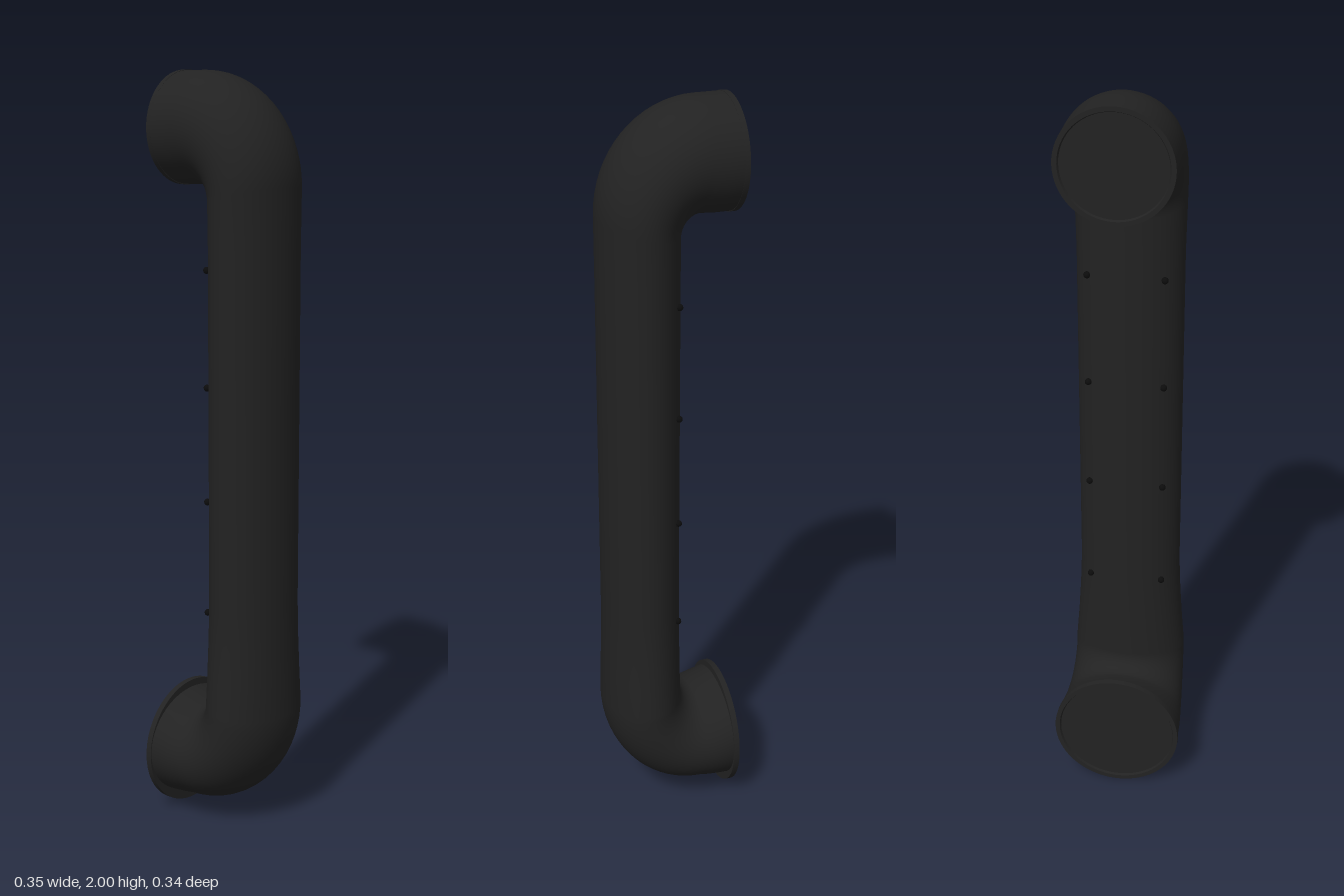
import * as THREE from 'three';
import { toCreasedNormals } from 'three/addons/utils/BufferGeometryUtils.js';

const SIDES = 64;

// Sections [outer z, outer y, inner z, inner y, half width], from the lower mount up to the upper one
function handleSections() {
  const s = [];
  s.push([-0.16, 0.032, -0.16, 0.33, 0.171], [-0.13, 0.036, -0.125, 0.318, 0.171], [-0.1, 0.04, -0.1, 0.31, 0.17]);
  const bend = 16;
  // Lower bend: wide outer arc, tight inner arc
  for (let i = 0; i <= bend; i++) {
    const a = (i / bend) * Math.PI / 2, c = Math.cos(a), n = Math.sin(a);
    s.push([-0.07 + 0.241 * n, 0.325 - 0.28 * c, -0.084 + 0.042 * n, 0.352 - 0.045 * c, 0.168 - 0.014 * n]);
  }
  // Straight grip
  s.push([0.169, 0.42, -0.041, 0.43, 0.147], [0.167, 0.52, -0.04, 0.52, 0.141], [0.166, 0.62, -0.039, 0.62, 0.137],
    [0.166, 1.1, -0.039, 1.1, 0.137], [0.166, 1.55, -0.039, 1.55, 0.137]);
  // Upper bend
  for (let i = 0; i <= bend; i++) {
    const a = (i / bend) * Math.PI / 2, c = Math.cos(a), n = Math.sin(a);
    s.push([-0.095 + 0.261 * c, 1.715 + 0.284 * n, -0.081 + 0.042 * c, 1.67 + 0.045 * n, 0.14 + 0.005 * n]);
  }
  s.push([-0.13, 1.999, -0.12, 1.712, 0.145], [-0.16, 1.999, -0.16, 1.712, 0.145]);
  return s;
}

// Skins elliptical rings through the sections
function loft(sections) {
  const pos = [], index = [];
  sections.forEach(([zo, yo, zi, yi, w], i) => {
    const cz = (zo + zi) / 2, cy = (yo + yi) / 2;
    for (let j = 0; j < SIDES; j++) {
      const t = (j / SIDES) * Math.PI * 2, c = Math.cos(t);
      pos.push(w * Math.sin(t), cy + (yo - cy) * c, cz + (zo - cz) * c);
      if (i === sections.length - 1) continue;
      const a = i * SIDES + j, b = i * SIDES + (j + 1) % SIDES;
      index.push(a, b, a + SIDES, b, b + SIDES, a + SIDES);
    }
  });
  const g = new THREE.BufferGeometry();
  g.setAttribute('position', new THREE.Float32BufferAttribute(pos, 3));
  g.setIndex(index);
  g.computeVertexNormals();
  return g;
}

// Round mounting plate with a raised rim on its back
function mountGeometry(r, h) {
  const profile = [[0, 0], [r, 0], [r, h], [r - 0.012, h], [r - 0.015, h - 0.006], [0, h - 0.006]]
    .map(([x, y]) => new THREE.Vector2(x, y));
  const g = new THREE.LatheGeometry(profile, SIDES);
  g.rotateX(-Math.PI / 2);
  return toCreasedNormals(g, 0.5);
}

export function createModel() {
  const group = new THREE.Group();
  const black = new THREE.MeshStandardMaterial({ color: 0x222222 });
  black.name = 'soft black';
  const dark = new THREE.MeshStandardMaterial({ color: 0x0c0c0c });
  dark.name = 'deep black';

  function add(name, geometry, material, x, y, z) {
    const mesh = new THREE.Mesh(geometry, material);
    mesh.name = name;
    mesh.position.set(x, y, z);
    group.add(mesh);
    return mesh;
  }

  add('handleBar', loft(handleSections()), black, 0, 0, 0);
  add('upperMount', mountGeometry(0.145, 0.014), black, 0, 1.855, -0.158);
  add('lowerMount', mountGeometry(0.174, 0.016), black, 0, 0.174, -0.156);

  // Two rows of small studs along the rear of the grip
  const stud = new THREE.SphereGeometry(0.009, 12, 8);
  for (const side of [-1, 1]) {
    for (let i = 0; i < 4; i++) {
      add(side > 0 ? 'leftStud' : 'rightStud', stud, dark, side * 0.098, 0.6 + i * 0.302, -0.013);
    }
  }
  return group;
}
